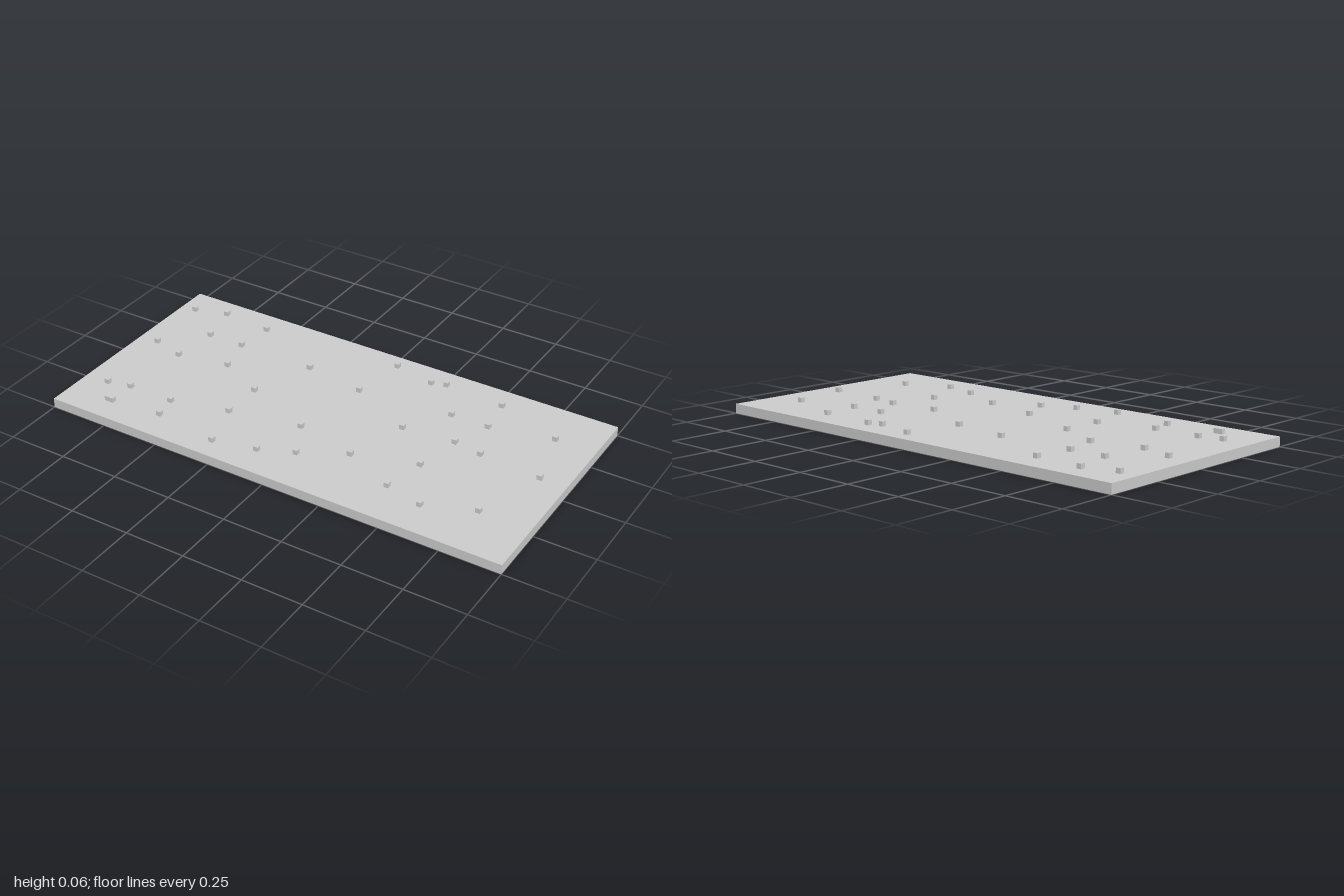
import * as THREE from 'three';

const SLAB_HEIGHT = 0.04;
const STUD = 0.02;

// stud centres in hundredths: each row is z followed by its x positions
const STUD_ROWS = [
  [-43, 5],
  [-41, -79, 29],
  [-39, -57, 23, 55],
  [-37, -93],
  [-29, 83],
  [-23, -75, -59, -25, 41, 57],
  [-19, 1],
  [-7, -91, -55, 51],
  [-5, 29, 63],
  [-3, -77, 89],
  [3, -35],
  [13, 47],
  [15, -5],
  [21, -35, 21],
  [27, -79, -59, 79],
  [29, -89],
  [31, 3, 43],
  [35, 59],
  [37, -57, -11],
  [39, -81, -79],
  [41, -29],
];

export function createModel() {
  const model = new THREE.Group();
  model.name = 'studdedSlab';
  const material = new THREE.MeshStandardMaterial({ color: 0xcccccc });

  // flat base slab
  const slab = new THREE.Mesh(new THREE.BoxGeometry(2, SLAB_HEIGHT, 1), material);
  slab.name = 'slab';
  slab.position.y = SLAB_HEIGHT / 2;
  model.add(slab);

  // small cubes scattered on the top face
  const studs = new THREE.Group();
  studs.name = 'studs';
  const cube = new THREE.BoxGeometry(STUD, STUD, STUD);
  for (const [z, ...xs] of STUD_ROWS) {
    for (const x of xs) {
      const stud = new THREE.Mesh(cube, material);
      stud.name = 'stud';
      stud.position.set(x / 100, SLAB_HEIGHT + STUD / 2, z / 100);
      studs.add(stud);
    }
  }
  model.add(studs);

  return model;
}
